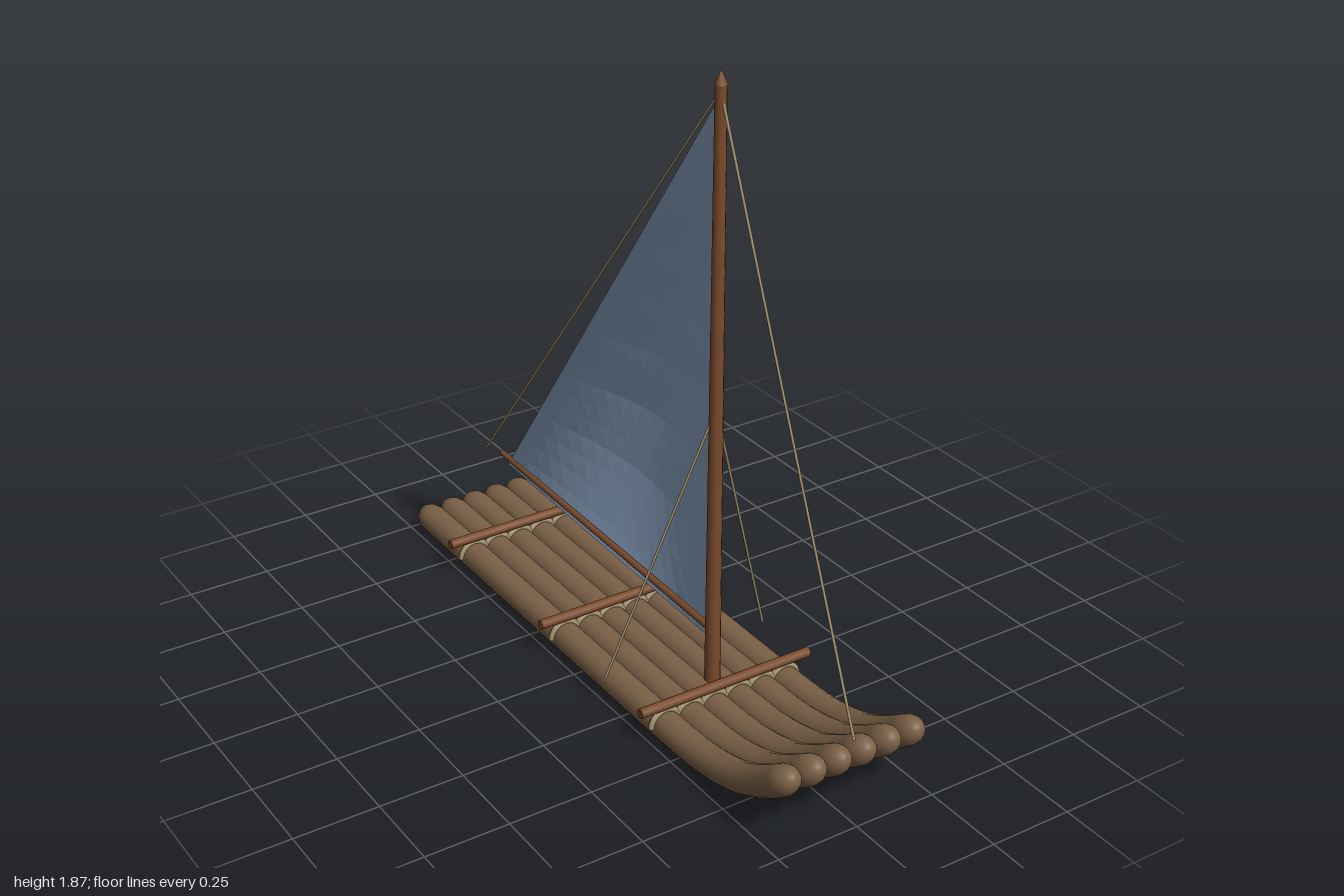
import * as THREE from 'three';

const V = (x, y, z) => new THREE.Vector3(x, y, z);
const mat = (name, color, extra = {}) => {
  const m = new THREE.MeshStandardMaterial({ color, ...extra });
  m.name = name;
  return m;
};

// Log: round section swept along an upturned path, with domed ends
function logGeometry(radius) {
  const path = new THREE.CatmullRomCurve3([
    V(0, 0.045, -1), V(0, 0.045, -0.5), V(0, 0.045, 0), V(0, 0.045, 0.45),
    V(0, 0.053, 0.6), V(0, 0.09, 0.76), V(0, 0.15, 0.88), V(0, 0.228, 0.992),
  ]);
  const rings = 72, sides = 16, length = path.getLength(), cap = 0.07;
  const geo = new THREE.TubeGeometry(path, rings, radius, sides, false);
  const pos = geo.attributes.position, p = V(0, 0, 0), q = V(0, 0, 0);
  for (let i = 0; i <= rings; i++) {
    // squeeze the rings towards both ends so that the domes stay smooth
    const t = 0.5 - 0.5 * Math.cos(Math.PI * i / rings);
    const k = Math.max(0, 1 - Math.min(t, 1 - t) * length / cap);
    const scale = Math.sqrt(Math.max(0, 1 - k * k));
    const c = path.getPointAt(i / rings), d = path.getPointAt(t);
    const tan = path.getTangentAt(t);
    const up = V(0, tan.z, -tan.y);
    for (let j = 0; j <= sides; j++) {
      const n = i * (sides + 1) + j;
      p.fromBufferAttribute(pos, n).sub(c);
      const old = path.getTangentAt(i / rings);
      const h = p.dot(q.set(0, old.z, -old.y));
      pos.setXYZ(n, p.x * scale, d.y + up.y * h * scale, d.z + up.z * h * scale);
    }
  }
  geo.computeVertexNormals();
  return geo;
}

// Sail: triangle bellied out to one side, with slight ripples
function sailGeometry() {
  const nu = 16, nv = 24;
  const geo = new THREE.PlaneGeometry(1, 1, nu, nv);
  const pos = geo.attributes.position;
  const tack = V(0, 0.21, 0.325), clew = V(0, 0.245, -0.8), head = V(0, 1.79, 0.325);
  for (let i = 0; i < pos.count; i++) {
    const u = pos.getX(i) + 0.5, v = pos.getY(i) + 0.5;
    const p = tack.clone().lerp(clew, u).lerp(head, v);
    const across = Math.sin(Math.PI * u);
    const belly = 0.19 * across * Math.sin(Math.PI * v) * (1 - v);
    const ripple = 0.003 * across * Math.sin(v * 48) * Math.sin(Math.PI * v);
    pos.setXYZ(i, p.x + belly + ripple, p.y, p.z);
  }
  geo.computeVertexNormals();
  return geo;
}

export function createModel() {
  const root = new THREE.Group();
  root.name = 'sailingRaft';
  const logWood = mat('log wood', 0x7d6248);
  const sparWood = mat('spar wood', 0x7a4a2b);
  const rope = mat('rope', 0xa89674);
  const cloth = mat('sail cloth', 0x8ba3c2, { side: THREE.DoubleSide, flatShading: true });

  const add = (name, geo, material, parent = root) => {
    const m = new THREE.Mesh(geo, material);
    m.name = name;
    parent.add(m);
    return m;
  };
  // Round bar between two points
  const bar = (name, a, b, r0, r1, material, sides = 10) => {
    const m = add(name, new THREE.CylinderGeometry(r1, r0, a.distanceTo(b), sides), material);
    m.position.copy(a).add(b).multiplyScalar(0.5);
    m.quaternion.setFromUnitVectors(V(0, 1, 0), b.clone().sub(a).normalize());
    return m;
  };

  // Deck of six logs
  const logXs = [-0.2, -0.12, -0.04, 0.04, 0.12, 0.2];
  const logGeo = logGeometry(0.044);
  for (const x of logXs) add('log', logGeo, logWood).position.x = x;

  // Cross beams, tied to each log with a half loop of rope
  const lashGeo = new THREE.TorusGeometry(0.046, 0.009, 6, 14, Math.PI);
  for (const z of [0.4, -0.13, -0.67]) {
    bar('crossBeam', V(-0.282, 0.108, z), V(0.282, 0.108, z), 0.015, 0.015, sparWood);
    for (const x of logXs) add('lashing', lashGeo, rope).position.set(x, 0.046, z);
  }

  // Mast with pointed top, and boom
  const mastZ = 0.335;
  bar('mast', V(0, 0.07, mastZ), V(0, 1.83, mastZ), 0.023, 0.016, sparWood, 12);
  bar('mastTip', V(0, 1.83, mastZ), V(0, 1.868, mastZ), 0.018, 0.001, sparWood, 12);
  bar('boom', V(0, 0.243, mastZ), V(0, 0.27, -0.835), 0.011, 0.009, sparWood);

  add('sail', sailGeometry(), cloth);

  // Rigging
  const stay = (name, a, b) => bar(name, a, b, 0.004, 0.004, rope, 6);
  stay('forestay', V(0, 1.815, mastZ), V(0, 0.255, 0.972));
  stay('backstay', V(0, 1.815, mastZ), V(0, 0.245, -0.935));
  for (const s of [-1, 1]) {
    stay('shroud', V(0, 0.93, mastZ), V(s * 0.267, 0.108, 0.2));
  }
  return root;
}
